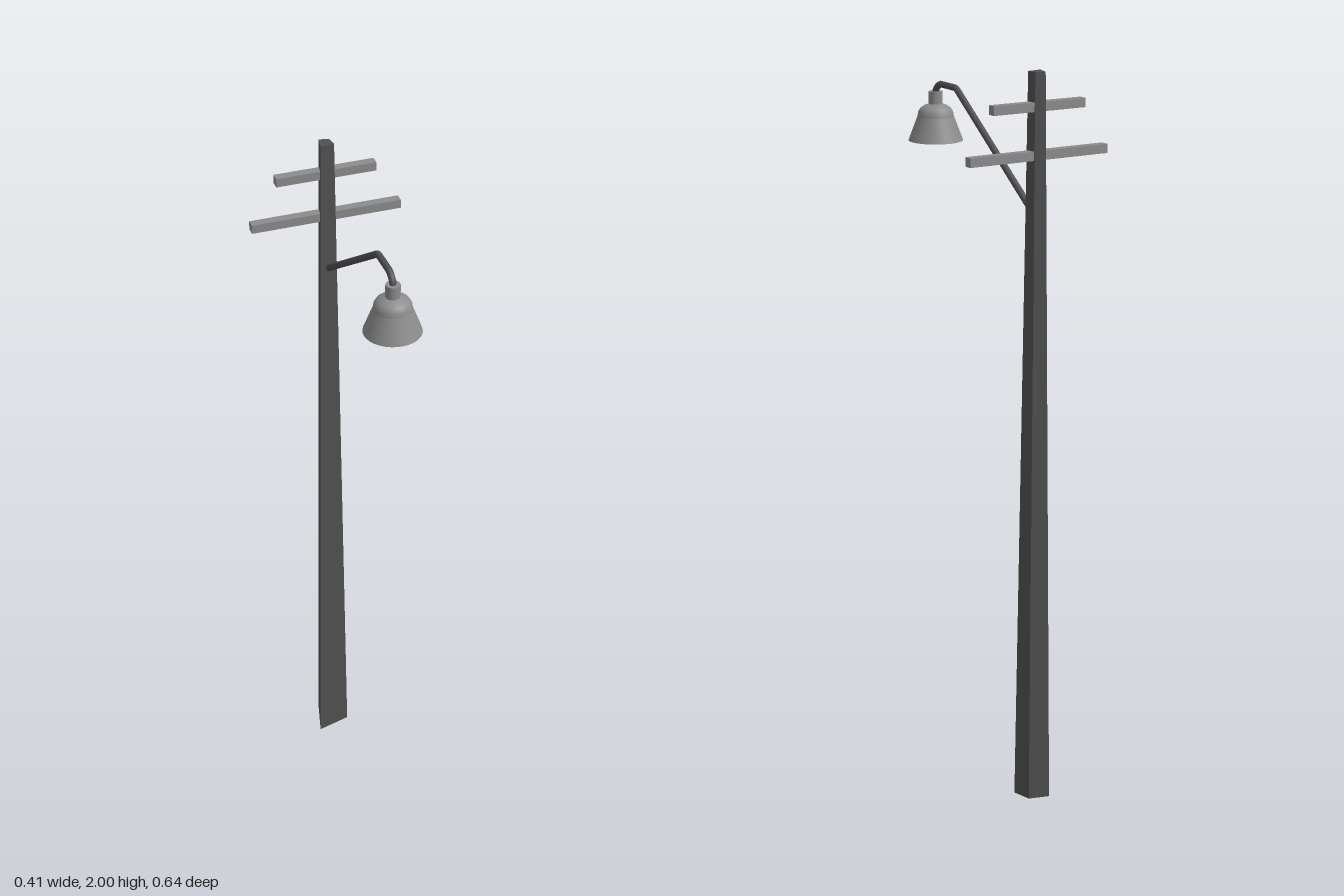
import * as THREE from 'three';

const paint = (color, extra = {}) => new THREE.MeshStandardMaterial({ color, ...extra });

function add(parent, name, geometry, material) {
  const mesh = new THREE.Mesh(geometry, material);
  mesh.name = name;
  parent.add(mesh);
  return mesh;
}

// Closed four-sided prism between two [x, z] outlines, counter-clockwise seen from above
function taperedPost(base, top, height) {
  const b = base.map(([x, z]) => [x, 0, z]);
  const t = top.map(([x, z]) => [x, height, z]);
  const positions = [];
  const quad = (p, q, r, s) => [p, q, r, p, r, s].forEach((v) => positions.push(...v));
  for (let i = 0; i < 4; i++) {
    const j = (i + 1) % 4;
    quad(b[i], b[j], t[j], t[i]);
  }
  quad(...t);
  quad(b[3], b[2], b[1], b[0]);
  const geometry = new THREE.BufferGeometry();
  geometry.setAttribute('position', new THREE.Float32BufferAttribute(positions, 3));
  geometry.computeVertexNormals();
  return geometry;
}

// Path through [z, y] points in the plane x = 0, with small rounded bends
function bentPath(points, bend) {
  const pts = points.map(([z, y]) => new THREE.Vector3(0, y, z));
  const path = new THREE.CurvePath();
  let start = pts[0];
  for (let i = 1; i < pts.length - 1; i++) {
    const toward = (p) => pts[i].clone().add(p.clone().sub(pts[i]).setLength(bend));
    const before = toward(pts[i - 1]);
    const after = toward(pts[i + 1]);
    path.add(new THREE.LineCurve3(start, before));
    path.add(new THREE.QuadraticBezierCurve3(before, pts[i], after));
    start = after;
  }
  path.add(new THREE.LineCurve3(start, pts[pts.length - 1]));
  return path;
}

export function createModel() {
  const model = new THREE.Group();
  model.name = 'streetLampPole';
  const dark = paint(0x505050);
  const light = paint(0x8c8c8c);
  const shadeMaterial = paint(0x8c8c8c, { side: THREE.DoubleSide });

  // Hewn, uneven pole
  add(model, 'pole', taperedPost(
    [[-0.05, -0.228], [0.045, -0.253], [0.031, -0.306], [-0.025, -0.322]],
    [[-0.019, -0.257], [0.02, -0.263], [0.016, -0.291], [-0.011, -0.297]],
    2,
  ), dark);

  // Two crossbars through the pole
  for (const [name, width, y] of [['upperCrossbar', 0.274, 1.911], ['lowerCrossbar', 0.412, 1.786]]) {
    const bar = add(model, name, new THREE.BoxGeometry(width, 0.024, 0.025), light);
    bar.position.set(0, y, -0.278 + 0.0);
  }

  // Bent arm carrying the lamp
  const path = bentPath([[-0.272, 1.624], [0.134, 1.903], [0.222, 1.903], [0.245, 1.885], [0.245, 1.865]], 0.008);
  add(model, 'lampArm', new THREE.TubeGeometry(path, 72, 0.009, 12), dark);

  // Bell-shaped lamp, open below; separate profiles keep the edges crisp
  const lamp = new THREE.Group();
  lamp.name = 'lamp';
  lamp.position.set(0, 1.746, 0.245);
  model.add(lamp);
  const profiles = {
    lampFlare: [[0.075, 0], [0.05, 0.066]],
    lampShoulder: [[0.05, 0.066], [0.048, 0.078], [0.042, 0.088], [0.032, 0.095], [0.019, 0.1]],
    lampNeck: [[0.019, 0.1], [0.019, 0.134]],
    lampCap: [[0.019, 0.134], [0, 0.134]],
  };
  for (const [name, profile] of Object.entries(profiles)) {
    const points = profile.map(([r, y]) => new THREE.Vector2(r, y));
    add(lamp, name, new THREE.LatheGeometry(points, 32), shadeMaterial);
  }

  return model;
}
